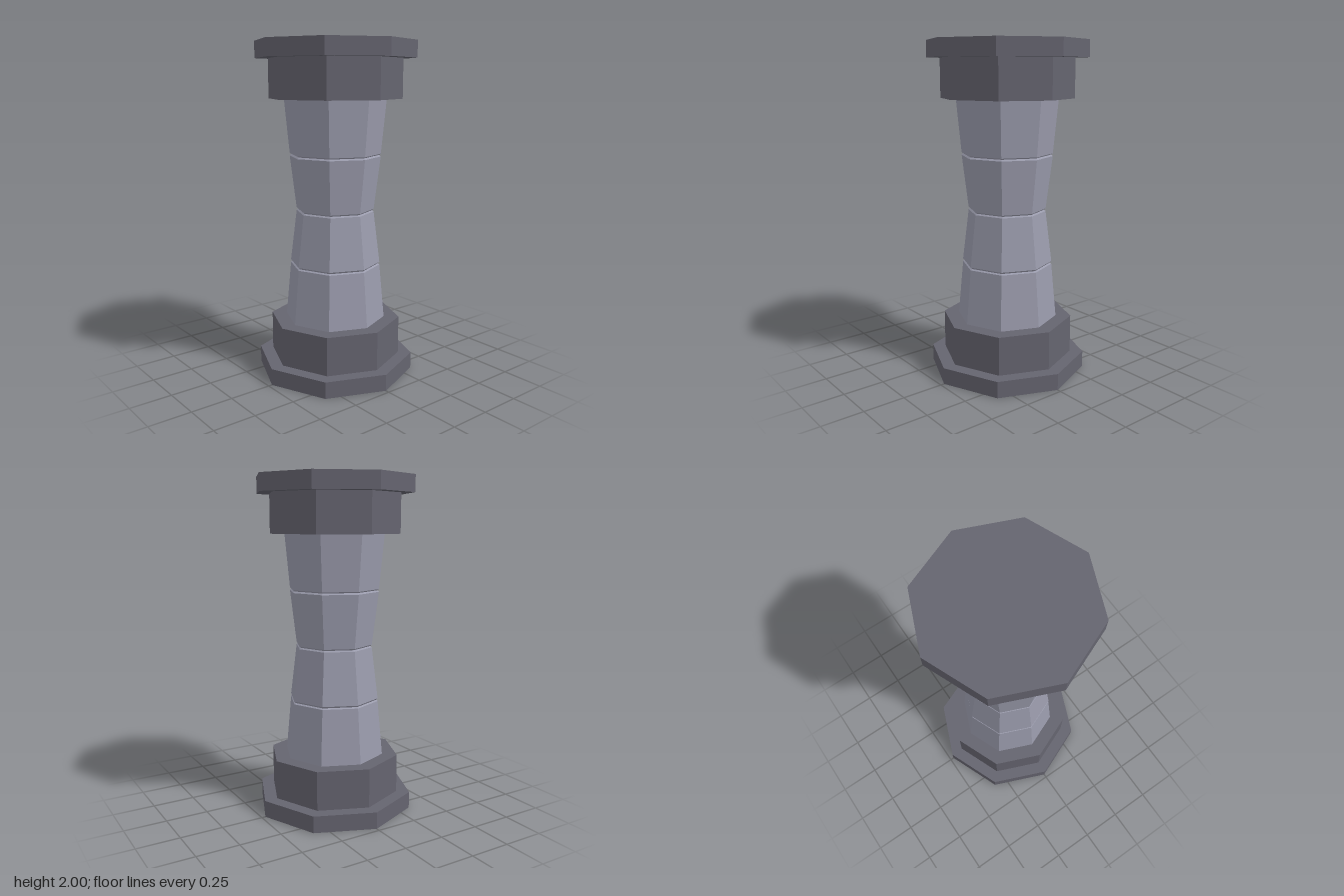
import * as THREE from 'three';

const SIDES = 8;

export function createModel() {
  const group = new THREE.Group();
  group.name = 'pillar';

  const darkStone = new THREE.MeshStandardMaterial({ color: 0x65646f, flatShading: true });
  darkStone.name = 'darkStone';
  const lightStone = new THREE.MeshStandardMaterial({ color: 0x9a9bac, flatShading: true });
  lightStone.name = 'lightStone';

  // Octagonal slab between two heights
  function slab(name, radius, y0, y1) {
    const mesh = new THREE.Mesh(new THREE.CylinderGeometry(radius, radius, y1 - y0, SIDES), darkStone);
    mesh.position.y = (y0 + y1) / 2;
    mesh.name = name;
    group.add(mesh);
  }

  // Foot and head, mirrored about mid height
  slab('basePlate', 0.477, 0, 0.1);
  slab('basePlinth', 0.397, 0.1, 0.333);
  slab('capitalBlock', 0.397, 1.667, 1.9);
  slab('capitalPlate', 0.477, 1.9, 2);

  // Waisted shaft: four tapered drums with fine notches at the joints
  const profile = [
    [0.305, 0.333],
    [0.274, 0.665], [0.264, 0.672], [0.274, 0.682],
    [0.235, 0.995], [0.226, 1.003], [0.235, 1.011],
    [0.274, 1.329], [0.264, 1.338], [0.274, 1.345],
    [0.305, 1.667],
  ].map(([r, y]) => new THREE.Vector2(r, y));
  const shaft = new THREE.Mesh(new THREE.LatheGeometry(profile, SIDES), lightStone);
  shaft.name = 'shaft';
  group.add(shaft);

  return group;
}
